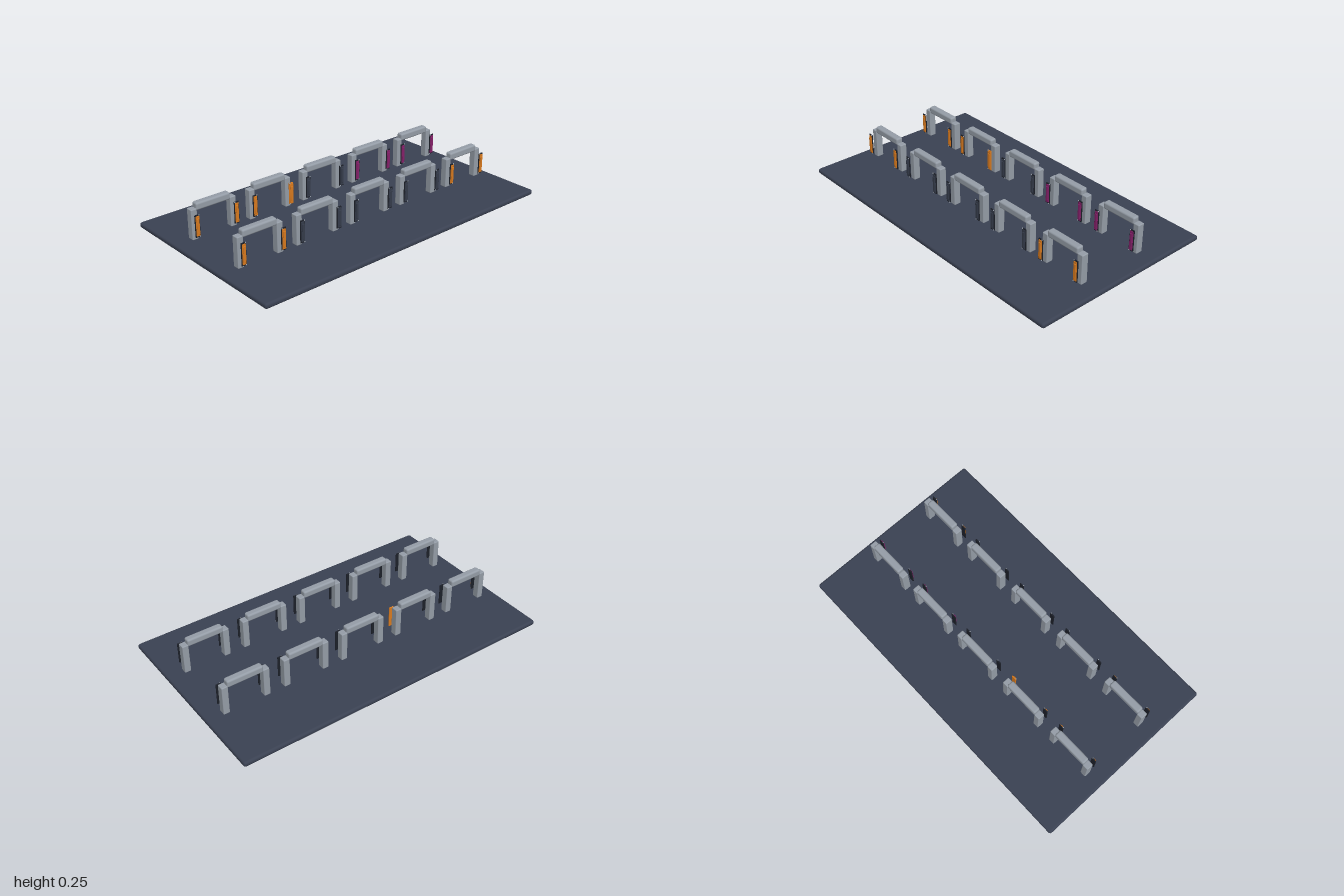
import * as THREE from 'three';
import { RoundedBoxGeometry } from 'three/addons/geometries/RoundedBoxGeometry.js';

const paint = (name, color) => Object.assign(new THREE.MeshStandardMaterial({ color }), { name });

export function createModel() {
  const slate = paint('slate', 0x3a4152);
  const steel = paint('steel', 0x959da7);
  const black = paint('black', 0x1c2029);
  const grey = paint('dark grey', 0x353c4b);
  const orange = paint('orange', 0xd97a1e);
  const purple = paint('purple', 0x86206a);

  const model = new THREE.Group();
  model.name = 'gateArray';

  const block = (parent, name, mat, w, h, d, r, x, y, z) => {
    const mesh = new THREE.Mesh(new RoundedBoxGeometry(w, h, d, 3, r), mat);
    mesh.name = name;
    mesh.position.set(x, y, z);
    parent.add(mesh);
  };

  // Floor slab with rounded rim
  block(model, 'base', slate, 2, 0.033, 1.17, 0.014, 0, 0.0165, 0);

  // Indicator panel standing just in front of a post
  const addPanel = (gate, x, lamp, housing) => {
    const panel = new THREE.Group();
    panel.name = 'panel';
    panel.position.set(x, 0.133, 0.048);
    block(panel, 'housing', housing, 0.031, 0.132, 0.007, 0.003, 0, 0, 0);
    block(panel, 'lampPlate', lamp, 0.023, 0.118, 0.005, 0.002, 0, 0, 0.004);
    block(panel, 'lampCore', lamp, 0.016, 0.092, 0.005, 0.002, 0, 0, 0.0085);
    // Fixing studs at both ends
    for (const s of [-1, 1]) {
      const stud = new THREE.Mesh(new THREE.SphereGeometry(0.004, 10, 8), steel);
      stud.name = 'stud';
      stud.position.set(Math.sign(x) * -0.011, s * 0.063, 0.003);
      panel.add(stud);
    }
    gate.add(panel);
  };

  // Two rows of five gates, with a lamp colour for each
  const rows = [
    { z: 0.209, lamps: [orange, grey, grey, grey, orange] },
    { z: -0.207, lamps: [orange, orange, grey, purple, purple] },
  ];
  for (const { z, lamps } of rows) {
    lamps.forEach((lamp, i) => {
      const gate = new THREE.Group();
      gate.name = 'gate';
      gate.position.set((i - 2) * 0.38, 0, z);
      for (const s of [-1, 1]) {
        block(gate, 'post', steel, 0.038, 0.18, 0.043, 0.005, s * 0.126, 0.13, 0);
        const lit = z < 0 && i === 1 && s === 1;
        addPanel(gate, s * 0.127, lamp, lit ? orange : black);
      }
      block(gate, 'beam', steel, 0.22, 0.044, 0.043, 0.011, 0, 0.228, 0);
      model.add(gate);
    });
  }
  return model;
}
